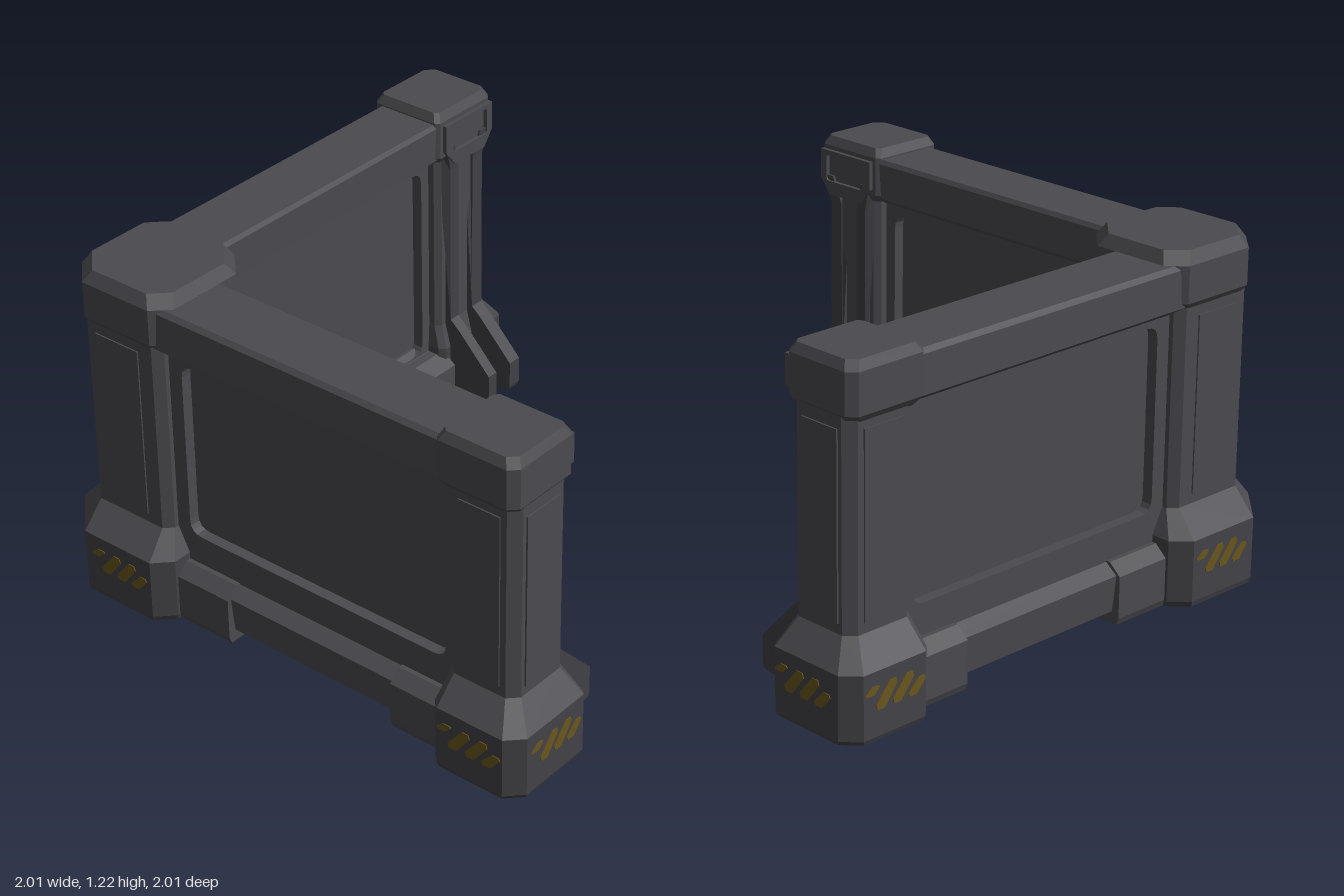
import * as THREE from 'three';

const mat = (name, color) => Object.assign(new THREE.MeshStandardMaterial({ color }), { name });

// Chamfered rectangle in plan: corners ordered back-left, back-right, front-right, front-left
function plan([x0, x1, z0, z1], [a, b, c, d], inset = 0) {
  x0 += inset; x1 -= inset; z0 += inset; z1 -= inset;
  return [[x0, z0 + a], [x0 + a, z0], [x1 - b, z0], [x1, z0 + b],
    [x1, z1 - c], [x1 - c, z1], [x0 + d, z1], [x0, z1 - d]];
}

// Solid through stacked plan outlines: rings = [[y, outline], ...]
function loft(rings) {
  const pos = [];
  const n = rings[0][1].length;
  const p = (k, i) => [rings[k][1][i % n][0], rings[k][0], rings[k][1][i % n][1]];
  const tri = (...v) => v.forEach((q) => pos.push(...q));
  for (let k = 0; k < rings.length - 1; k++) {
    for (let i = 0; i < n; i++) {
      tri(p(k, i), p(k + 1, i), p(k + 1, i + 1));
      tri(p(k, i), p(k + 1, i + 1), p(k, i + 1));
    }
  }
  const top = rings.length - 1;
  for (let i = 1; i < n - 1; i++) {
    tri(p(top, 0), p(top, i + 1), p(top, i));
    tri(p(0, 0), p(0, i), p(0, i + 1));
  }
  const g = new THREE.BufferGeometry();
  g.setAttribute('position', new THREE.Float32BufferAttribute(pos, 3));
  g.computeVertexNormals();
  return g;
}

const shapeOf = (pts) => new THREE.Shape(pts.map(([x, y]) => new THREE.Vector2(x, y)));
const extrude = (shape, depth) => new THREE.ExtrudeGeometry(shape, { depth, bevelEnabled: false, curveSegments: 4 });

// Profile in (z, y) swept along x
const sweepX = (pts, x0, x1) => extrude(shapeOf(pts), x1 - x0).rotateY(-Math.PI / 2).translate(x1, 0, 0);

const box = (x0, x1, y0, y1, z0, z1) => new THREE.BoxGeometry(x1 - x0, y1 - y0, z1 - z0)
  .translate((x0 + x1) / 2, (y0 + y1) / 2, (z0 + z1) / 2);

// Copy mirrored across the diagonal (x and z exchanged), keeping faces outward
function swapped(geo) {
  const g = geo.index ? geo.toNonIndexed() : geo.clone();
  const a = g.attributes.position;
  const src = a.array.slice();
  for (let i = 0; i < a.count; i++) {
    const j = i % 3 === 1 ? i + 1 : i % 3 === 2 ? i - 1 : i;
    a.setXYZ(i, src[j * 3 + 2], src[j * 3 + 1], src[j * 3]);
  }
  g.computeVertexNormals();
  return g;
}

function roundedHole(x0, x1, y0, y1, r) {
  const h = new THREE.Path();
  h.moveTo(x0 + r, y0);
  h.lineTo(x1 - r, y0); h.quadraticCurveTo(x1, y0, x1, y0 + r);
  h.lineTo(x1, y1 - r); h.quadraticCurveTo(x1, y1, x1 - r, y1);
  h.lineTo(x0 + r, y1); h.quadraticCurveTo(x0, y1, x0, y1 - r);
  h.lineTo(x0, y0 + r); h.quadraticCurveTo(x0, y0, x0 + r, y0);
  return h;
}

// Wall frame with a rounded opening, from z0 to z1
function frame(hole, z0, z1) {
  const s = shapeOf([[-0.6, 0.2], [0.7, 0.2], [0.7, 1.03], [-0.6, 1.03]]);
  s.holes.push(roundedHole(...hole, 0.05));
  return extrude(s, z1 - z0).translate(0, 0, z0);
}

export function createModel() {
  const root = new THREE.Group();
  root.name = 'cornerBarrier';
  const body = mat('body grey', 0x4b4a4f);
  const base = mat('base grey', 0x434247);
  const fin = mat('fin grey', 0x414045);
  const paint = mat('worn yellow', 0x6a571d);

  const add = (name, geo, material, parent = root) => {
    const m = new THREE.Mesh(geo, material);
    m.name = name;
    parent.add(m);
  };
  const wings = ['backWall', 'sideWall'].map((name) => {
    const g = new THREE.Group();
    g.name = name;
    root.add(g);
    return g;
  });
  const addBoth = (name, geo, material) => {
    add(name, geo, material, wings[0]);
    add(name, swapped(geo), material, wings[1]);
  };

  // Wall: rails, deep panel and its rounded frames
  addBoth('topRail', sweepX([[-0.7, 1.01], [-0.655, 1.04], [-0.65, 1.17], [-0.66, 1.185],
    [-0.895, 1.185], [-0.91, 1.17], [-0.915, 1.04], [-0.87, 1.01]], -0.55, 0.68), body);
  addBoth('bottomRail', sweepX([[-0.9, 0.048], [-0.655, 0.048], [-0.645, 0.18], [-0.74, 0.24],
    [-0.835, 0.24], [-0.915, 0.18]], -0.6, 0.7), body);
  addBoth('panel', box(-0.6, 0.7, 0.2, 1.05, -0.828, -0.75), body);
  addBoth('outerFrame', frame([-0.475, 0.62, 0.33, 0.985], -0.868, -0.82), body);
  add('innerFrame', frame([-0.58, 0.62, 0.225, 0.985], -0.76, -0.71), body, wings[0]);
  add('innerFrame', swapped(frame([-0.485, 0.615, 0.32, 0.97], -0.76, -0.71)), body, wings[1]);

  // Feet clamped round the bottom rail
  for (const [x0, x1] of [[-0.56, -0.26], [0.44, 0.69]]) {
    addBoth('foot', sweepX([[-0.92, 0.005], [-0.62, 0.005], [-0.612, 0.03], [-0.612, 0.18], [-0.67, 0.22],
      [-0.885, 0.22], [-0.93, 0.18], [-0.93, 0.03]], x0, x1), body);
  }

  // End post: flared base, column, inset plates and cap
  const colRect = [0.66, 0.928, -0.915, -0.665];
  const colCut = [0.03, 0.035, 0.02, 0.02];
  const baseRect = [0.655, 1.0, -0.995, -0.642];
  const baseCut = [0.03, 0.055, 0.012, 0.02];
  addBoth('postBase', loft([[0.01, plan(baseRect, baseCut, 0.006)], [0.025, plan(baseRect, baseCut)],
    [0.245, plan(baseRect, baseCut)]]), base);
  addBoth('postBaseSlope', loft([[0.245, plan(baseRect, baseCut)], [0.335, plan(colRect, colCut)]]), body);
  addBoth('postColumn', loft([[0.33, plan(colRect, colCut)], [1.06, plan(colRect, colCut)]]), body);
  addBoth('postEndPlate', box(0.925, 0.934, 0.37, 1.0, -0.865, -0.71), body);
  addBoth('postBackPlate', box(0.71, 0.87, 0.37, 1.0, -0.92, -0.912), body);
  const capRect = [0.63, 0.935, -0.933, -0.64];
  const capCut = [0.015, 0.03, 0.02, 0.015];
  addBoth('postCap', loft([[1.02, plan(capRect, capCut, 0.022)], [1.05, plan(capRect, capCut)],
    [1.19, plan(capRect, capCut)], [1.222, plan(capRect, capCut, 0.017)]]), body);

  // Twin buttress fins, splayed at the top into a bracket
  for (const [x0, x1, lean] of [[0.7, 0.745, -0.03], [0.825, 0.88, 0.035]]) {
    const g = sweepX([[-0.68, 0.04], [-0.57, 0.05], [-0.465, 0.065], [-0.46, 0.08], [-0.46, 0.18], [-0.6, 0.325],
      [-0.64, 0.36], [-0.64, 0.98], [-0.63, 1.08], [-0.68, 1.08], [-0.68, 0.98]], x0, x1);
    const p = g.attributes.position;
    for (let i = 0; i < p.count; i++) if (p.getY(i) > 1) p.setX(i, p.getX(i) + lean);
    g.computeVertexNormals();
    addBoth('buttressFin', g, fin);
  }
  const bracket = shapeOf([[0.71, 1.01], [0.875, 1.01], [0.92, 1.07], [0.92, 1.175], [0.66, 1.175], [0.66, 1.07]]);
  bracket.holes.push(roundedHole(0.7, 0.89, 1.06, 1.16, 0.015));
  addBoth('finBracket', extrude(bracket, 0.03).translate(0, 0, -0.655), body);

  // Corner post joining both walls
  const cBase = [-1.0, -0.485, -1.0, -0.485];
  const cBaseCut = [0.155, 0.06, 0.1, 0.06];
  const cCol = [-0.915, -0.53, -0.915, -0.53];
  const cColCut = [0.07, 0.03, 0.13, 0.03];
  const cCap = [-0.93, -0.49, -0.93, -0.49];
  const cCapCut = [0.09, 0.06, 0.09, 0.06];
  add('cornerBase', loft([[0.005, plan(cBase, cBaseCut, 0.006)], [0.025, plan(cBase, cBaseCut)],
    [0.245, plan(cBase, cBaseCut)]]), base);
  add('cornerBaseSlope', loft([[0.245, plan(cBase, cBaseCut)], [0.335, plan(cCol, cColCut)]]), body);
  add('cornerColumn', loft([[0.33, plan(cCol, cColCut)], [1.06, plan(cCol, cColCut)]]), body);
  addBoth('cornerPlate', box(-0.81, -0.62, 0.37, 1.0, -0.92, -0.912), body);
  add('cornerCap', loft([[1.025, plan(cCap, cCapCut, 0.022)], [1.055, plan(cCap, cCapCut)],
    [1.185, plan(cCap, cCapCut)], [1.228, plan(cCap, cCapCut, 0.025)]]), body);

  // Worn hazard stripes on the base faces: [start, bottom, height]
  const dashes = [[-0.12, 0.17, 0.028], [-0.075, 0.115, 0.085], [-0.005, 0.115, 0.085], [0.06, 0.115, 0.055]];
  const q = Math.PI / 2;
  const faces = [[-0.795, 1, 0], [-0.995, 0.81, -q], [-0.642, 0.83, q], [1, -0.78, q], [0.83, -0.642, 0],
    [0.815, -0.995, 2 * q], [-0.685, -1, 2 * q], [-1, -0.69, -q]];
  for (const [x, z, turn] of faces) {
    for (const [s, y, h] of dashes) {
      const k = h * 0.5;
      const dash = shapeOf([[s, y], [s + 0.03, y], [s + 0.04 + k, y + h * 0.8], [s + 0.035 + k, y + h],
        [s + 0.01 + k, y + h], [s - 0.005, y + h * 0.2]]);
      add('hazardStripe', extrude(dash, 0.006).translate(0, 0, -0.003).rotateY(turn).translate(x, 0, z), paint);
    }
  }
  return root;
}
